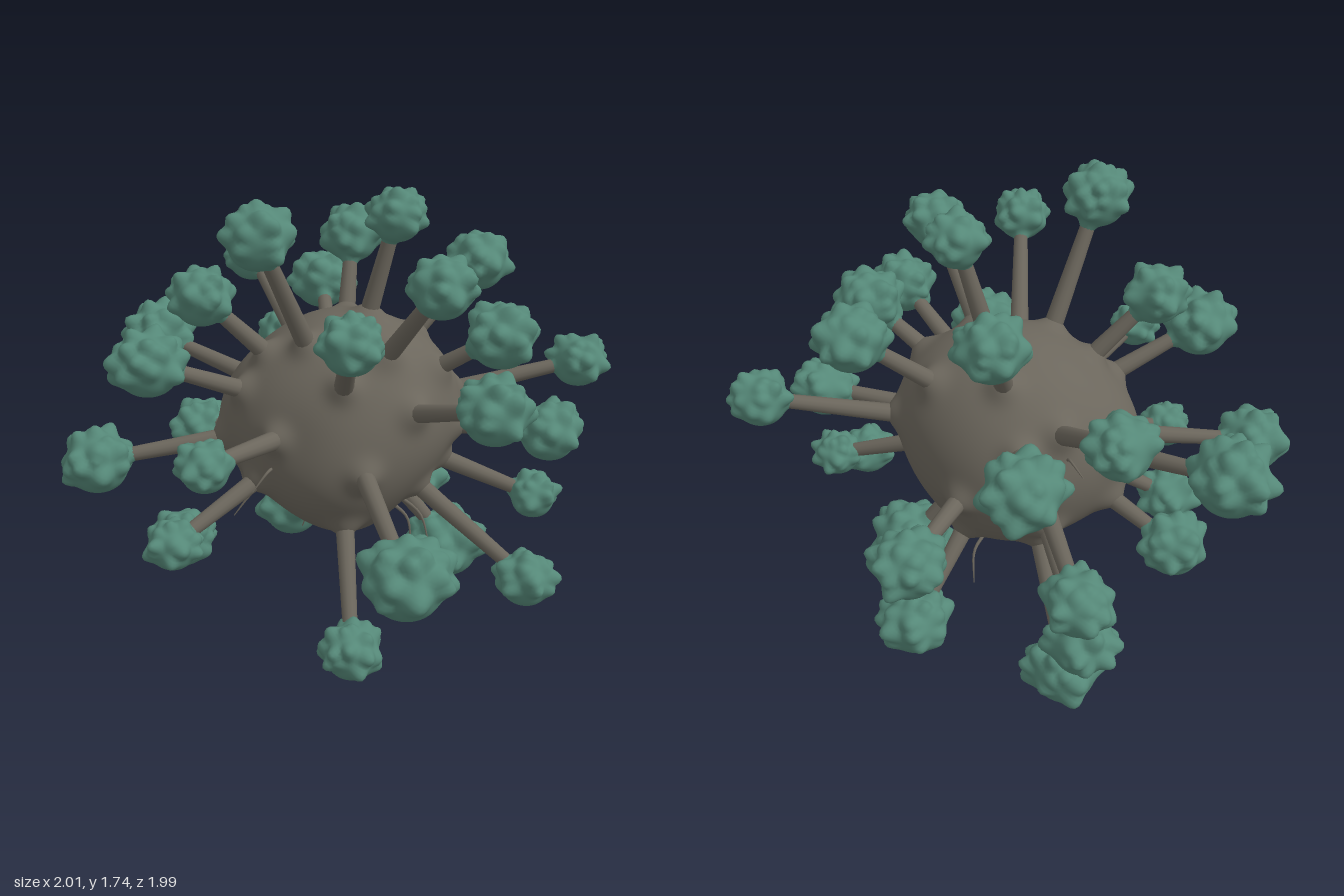
import * as THREE from 'three';
import { mergeVertices } from 'three/addons/utils/BufferGeometryUtils.js';

const V = (x, y, z) => new THREE.Vector3(x, y, z);
const centre = V(0, 0.82, -0.05);

// each head: x, y, z, outer radius
const HEADS = [
  [-0.19, 1.61, 0.35, 0.125], [-0.03, 1.43, -0.45, 0.125], [0.2, 1.6, -0.09, 0.11],
  [0.17, 1.36, 0.61, 0.11], [0.41, 1.46, 0.29, 0.12], [0.47, 1.36, -0.41, 0.13],
  [0.6, 1.22, 0.04, 0.135], [0.61, 1.09, 0.41, 0.13], [0.88, 1.0, -0.36, 0.115],
  [0.79, 0.84, -0.03, 0.125], [0.39, 0.69, 0.83, 0.15], [0.75, 0.55, -0.07, 0.1],
  [0.75, 0.35, 0.21, 0.115], [0.42, 0.25, -0.17, 0.16], [0.17, 0.2, 0.57, 0.115],
  [-0.32, 0.13, -0.55, 0.15], [-0.56, 0.38, 0.23, 0.125], [-0.41, 0.46, -0.7, 0.13],
  [-0.49, 0.52, 0.51, 0.105], [-0.65, 0.61, -0.3, 0.125], [-0.86, 0.7, 0.27, 0.14],
  [-0.82, 0.99, -0.34, 0.15], [-0.6, 1.14, 0.35, 0.135], [-0.45, 1.34, 0.18, 0.12],
  [-0.31, 0.91, 0.64, 0.1], [-0.43, 0.84, -0.88, 0.12], [-0.22, 1.14, -0.76, 0.14],
  [-0.49, 1.27, -0.62, 0.12], [0.18, 0.73, -0.76, 0.135], [0.23, 0.29, -0.62, 0.135],
];

function makeRandom(seed) {
  let s = seed * 7919 + 17;
  return () => (s = (s * 16807) % 2147483647) / 2147483647;
}

// unit ball with shared vertices whose radius follows a rule
function moulded(detail, radiusAt) {
  let g = new THREE.IcosahedronGeometry(1, detail);
  g.deleteAttribute('uv');
  g.deleteAttribute('normal');
  g = mergeVertices(g, 1e-4);
  const p = g.attributes.position, d = V(0, 0, 0);
  for (let i = 0; i < p.count; i++) {
    d.fromBufferAttribute(p, i).normalize();
    const r = radiusAt(d);
    p.setXYZ(i, d.x * r, d.y * r, d.z * r);
  }
  g.computeVertexNormals();
  return g;
}

const stemDirs = HEADS.map(([x, y, z]) => V(x, y, z).sub(centre).normalize());

// swellings (+) and hollows (-) of the body: direction, height, sharpness
const LOBES = [
  [V(0.15, -1, 0.15), 0.04, 8], [V(-1, -0.15, 0.05), 0.03, 6], [V(0.85, 0.4, -0.1), 0.03, 6],
  [V(-0.6, -0.8, 0.1), -0.05, 7], [V(-0.65, 0.75, 0.1), -0.03, 6], [V(0.1, -0.4, 0.9), 0.035, 7],
  [V(0.75, -0.65, 0.1), -0.045, 7], [V(0, 0.6, 0.8), -0.02, 7], [V(0, -0.6, -0.8), 0.02, 7],
  [V(-0.25, 0.1, 0.95), -0.02, 14], [V(0, 0.1, -1), 0.015, 8],
].map(([d, h, k]) => [d.normalize(), h, k]);

function bodyRadius(d) {
  let r = 1 / Math.hypot(d.x / 0.44, d.y / 0.425, d.z / 0.395);
  for (const [dir, h, k] of LOBES) r += h * Math.exp(k * (d.dot(dir) - 1));
  // flared collars where the stems leave the body
  for (const s of stemDirs) r += 0.04 * Math.exp(120 * (d.dot(s) - 1));
  return r;
}

// knobbly head: uneven bumps over its upper side, smooth underneath, short neck on the stem
function headGeometry(radius, stemDir, seed) {
  const rand = makeRandom(seed + 1), bumps = [];
  const n = 22, turn = rand() * 6.28;
  for (let i = 0; i < n; i++) {
    const y = 1 - (i + 0.5) / n * 1.35 + (rand() - 0.5) * 0.14;
    const a = turn + i * 2.4 + (rand() - 0.5) * 0.9, q = Math.sqrt(Math.max(0, 1 - y * y));
    const dir = V(q * Math.cos(a), y, q * Math.sin(a)).normalize();
    bumps.push([dir, 0.1 + rand() * 0.2 + 0.05 * q, 20 + rand() * 16]);
  }
  bumps.push([stemDir.clone().negate(), 0.4, 45]);
  return moulded(10, d => {
    let b = 0;
    for (const [dir, h, k] of bumps) b = Math.max(b, h * Math.exp(k * (d.dot(dir) - 1)));
    const under = 0.1 * THREE.MathUtils.smoothstep(-d.y, 0.2, 0.9);
    return radius * (0.83 + b + under) * (1 - 0.07 * d.y * d.y);
  });
}

// round tube whose thickness runs from r0 to r1
function taperedTube(points, r0, r1, sides) {
  const curve = new THREE.CatmullRomCurve3(points), steps = 10;
  const g = new THREE.TubeGeometry(curve, steps, 1, sides, false);
  const p = g.attributes.position, v = V(0, 0, 0), c = V(0, 0, 0);
  for (let i = 0; i < p.count; i++) {
    const t = Math.floor(i / (sides + 1)) / steps;
    curve.getPointAt(t, c);
    v.fromBufferAttribute(p, i).sub(c).multiplyScalar(THREE.MathUtils.lerp(r0, r1, t)).add(c);
    p.setXYZ(i, v.x, v.y, v.z);
  }
  return g;
}

export function createModel() {
  const group = new THREE.Group();
  const brown = new THREE.MeshStandardMaterial({ color: 0x6b665c });
  brown.name = 'greyBrown';
  const teal = new THREE.MeshStandardMaterial({ color: 0x558878 });
  teal.name = 'tealGreen';
  const add = (name, geometry, material, pos) => {
    const m = new THREE.Mesh(geometry, material);
    m.name = name;
    if (pos) m.position.copy(pos);
    group.add(m);
  };

  add('body', moulded(36, bodyRadius), brown, centre);

  // stems and heads
  HEADS.forEach(([x, y, z, r], i) => {
    const end = V(x, y, z), dir = stemDirs[i];
    const start = centre.clone().addScaledVector(dir, 0.34);
    const mid = start.clone().lerp(end, 0.55);
    add('stem', taperedTube([start, mid, end], 0.037, 0.025, 12), brown);
    add('head', headGeometry(r, dir, i), teal, end);
  });

  // thin threads hanging off the body: direction, length
  const THREADS = [
    [V(0.6, -0.6, 0.3), 0.2], [V(0.5, -0.7, 0.2), 0.16], [V(-0.3, -0.9, -0.2), 0.2],
    [V(-0.45, -0.2, 0.85), 0.12], [V(-0.7, 0.3, -0.75), 0.12], [V(0.1, -0.75, -0.75), 0.18],
    [V(-0.65, -0.6, 0.3), 0.15],
  ];
  for (const [d, length] of THREADS) {
    d.normalize();
    const a = centre.clone().addScaledVector(d, bodyRadius(d) - 0.03);
    const b = a.clone().addScaledVector(d, length * 0.55).add(V(0.02, 0.02, 0));
    const c = a.clone().addScaledVector(d, length).add(V(0, -0.03, 0));
    add('thread', taperedTube([a, b, c], 0.008, 0.002, 6), brown);
  }
  return group;
}
